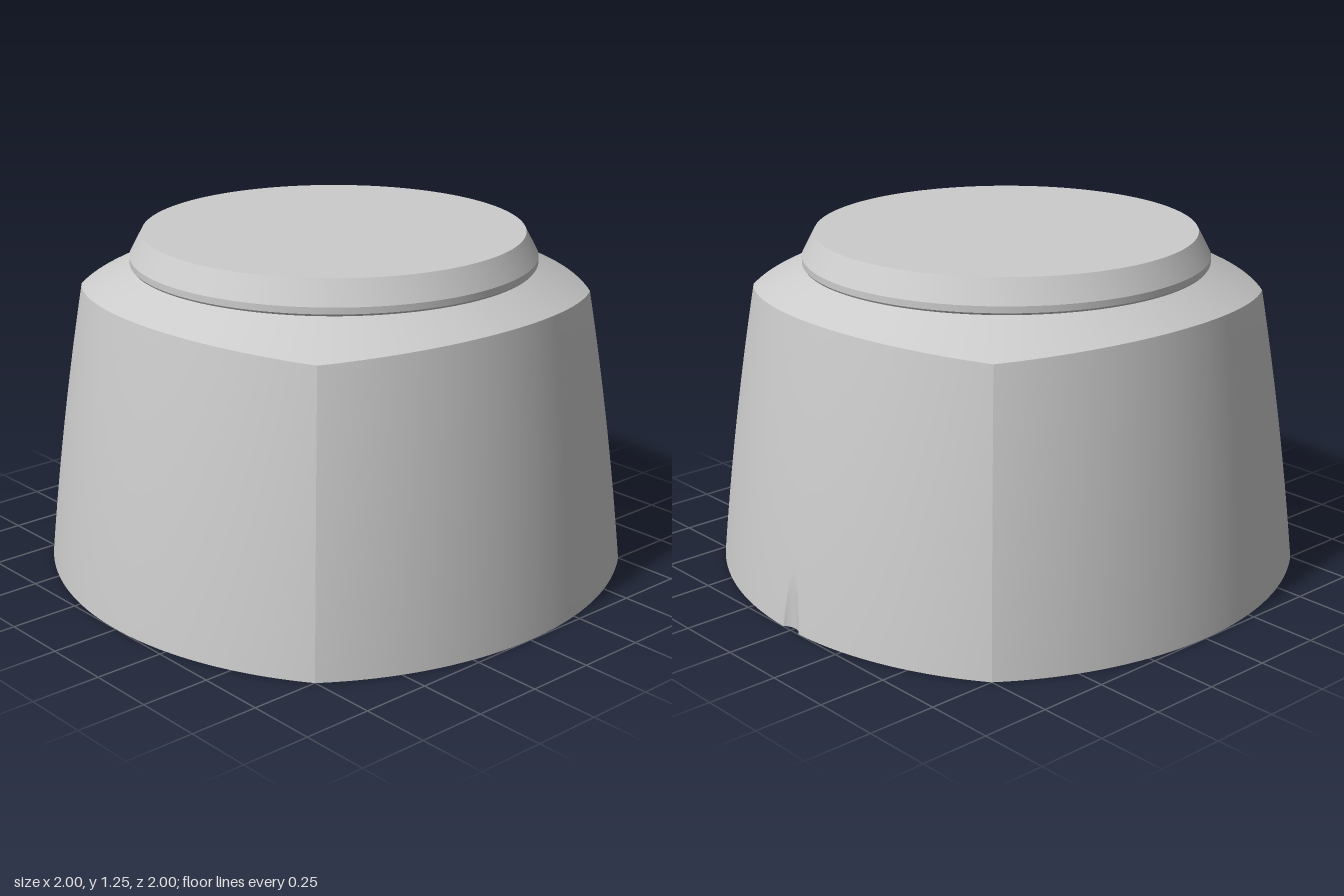
import * as THREE from 'three';
import { toCreasedNormals } from 'three/addons/utils/BufferGeometryUtils.js';

const grey = new THREE.MeshStandardMaterial({ color: 0xcccccc });
const greyInner = new THREE.MeshStandardMaterial({ color: 0xcccccc, side: THREE.DoubleSide });
const RIM = 0.03, CEILING = 0.47, SCREW_R = 0.965;
const rad = THREE.MathUtils.degToRad;
const v3 = (x, y, z) => new THREE.Vector3(x, y, z);

// Joins closed rings of points; bottom-to-top faces outward, top-to-bottom inward.
function loft(rings) {
  const n = rings[0].length, index = [];
  for (let j = 0; j < rings.length - 1; j++) {
    for (let i = 0; i < n; i++) {
      const a = j * n + i, b = j * n + (i + 1) % n;
      index.push(a, a + n, b, b, a + n, b + n);
    }
  }
  const g = new THREE.BufferGeometry().setFromPoints(rings.flat());
  g.setIndex(index);
  return toCreasedNormals(g, 0.2);
}

// Flat downward-facing plate from a ring outline with ring-shaped holes.
function plate(outline, holes, y) {
  const flat = ring => ring.map(p => new THREE.Vector2(p.x, p.z));
  const shape = new THREE.Shape(flat(outline));
  holes.forEach(h => shape.holes.push(new THREE.Path(flat(h))));
  return new THREE.ShapeGeometry(shape).rotateX(Math.PI / 2).translate(0, y, 0);
}

// Near edge, along the ray at angle t, of a circle standing at angle 'at'.
function bite(t, at, dist, radius) {
  const s = dist * Math.sin(t - at), c = Math.cos(t - at);
  return c > 0 && Math.abs(s) < radius ? dist * c - Math.sqrt(radius * radius - s * s) : Infinity;
}

// Body section: four shallow arcs meeting at corners, scaled down with height.
const taper = y => 1 - 0.1 * y - 0.035 * y * y;
function sectionRadius(t) {
  const q = t - Math.round(t / (Math.PI / 2)) * Math.PI / 2;
  return -0.25 * Math.cos(q) + Math.sqrt(1.5625 - 0.0625 * Math.sin(q) ** 2);
}
const wallRadius = (t, y) => Math.min(sectionRadius(t) * taper(y), bite(t, 0, 1.04, 0.06));
function shoulderHeight(t) {
  let y = 1.05;
  for (let k = 0; k < 12; k++) y = 1.13 - 0.52 * (sectionRadius(t) * taper(y) - 0.72);
  return y;
}

// Angles around the body, finer across the cable notch.
const angles = [];
for (let d = -45; d < 315; d += Math.abs(d) < 4.5 ? 0.25 : 1.5) angles.push(rad(d));
const polar = (t, r, y) => v3(r * Math.cos(t), y, r * Math.sin(t));

// Recess outline with screw bosses, one bump and one shallow step.
function recessRing(y) {
  const ring = [];
  for (let d = 0; d < 360; d++) {
    const t = rad(d);
    let r = Math.min(0.95, bite(t, Math.PI / 2, 0.95, 0.09));
    for (let k = 0; k < 4; k++) r = Math.min(r, bite(t, rad(45 + 90 * k), SCREW_R, 0.115));
    if (Math.abs(d - 270) < 12) r = 0.91;
    ring.push(polar(t, r, y));
  }
  return ring;
}

// Pocket outline: a circle cut by a chord that leans in with height, grooved round the shaft.
function pocketRing(k) {
  const y = RIM + (CEILING - RIM) * k, x = -0.27 + 0.13 * k * k, R = 0.67;
  const end = Math.acos(x / R), half = R * Math.sin(end), ring = [];
  for (let i = 0; i < 80; i++) ring.push(polar(-end + 2 * end * i / 80, R, y));
  for (let i = 0; i < 80; i++) {
    const z = half * (1 - i / 40);
    const groove = Math.abs(z) < 0.18 ? -0.1 - Math.sqrt(0.0324 - z * z) : Infinity;
    ring.push(v3(Math.min(x, groove), y, z));
  }
  return ring;
}

function circleRing(cx, cz, r, y) {
  return Array.from({ length: 24 }, (_, i) => polar(i * Math.PI / 12, r, y).add(v3(cx, 0, cz)));
}

export function createModel() {
  const model = new THREE.Group();
  function add(name, geometry, material = grey) {
    const mesh = new THREE.Mesh(geometry, material);
    mesh.name = name;
    model.add(mesh);
    return mesh;
  }

  // Tapered housing with the conical shoulder
  const rows = 30, housing = [];
  for (let j = 0; j <= rows; j++) {
    housing.push(angles.map(t => {
      const y = shoulderHeight(t) * j / rows;
      return polar(t, wallRadius(t, y), y);
    }));
  }
  housing.push(angles.map(t => polar(t, 0.71, 1.135)));
  add('housing', loft(housing));

  // Round cap with a bevelled rim
  const capProfile = [[0, 1.13], [0.705, 1.13], [0.72, 1.135], [0.725, 1.142], [0.725, 1.165], [0.68, 1.25], [0, 1.25]]
    .map(p => new THREE.Vector2(...p));
  add('cap', toCreasedNormals(new THREE.LatheGeometry(capProfile, 128), 0.3));

  // Base rim with four screw holes
  const screws = [0, 1, 2, 3].map(k => polar(rad(45 + 90 * k), SCREW_R, 0));
  const screwRings = y => screws.map(p => circleRing(p.x, p.z, 0.037, y));
  add('baseRim', plate(housing[0], [recessRing(0), ...screwRings(0)], 0));
  const tops = screwRings(0.2);
  screwRings(0).forEach((ring, i) => {
    add('screwHole', loft([tops[i], ring]), greyInner);
    add('screwHoleEnd', plate(tops[i], [], 0.2));
  });

  // Shallow recess and its floor plate
  add('recessWall', loft([recessRing(RIM), recessRing(0)]), greyInner);
  add('basePlate', plate(recessRing(RIM), [pocketRing(0)], RIM));

  // Inner pocket
  const pocket = [];
  for (let j = 12; j >= 0; j--) pocket.push(pocketRing(j / 12));
  add('pocketWall', loft(pocket), greyInner);
  add('pocketCeiling', plate(pocket[0], [], CEILING));

  // Shaft hanging from the pocket ceiling
  const shaft = add('shaft', new THREE.CylinderGeometry(0.13, 0.13, CEILING - 0.31, 48));
  shaft.position.set(-0.1, (CEILING + 0.31) / 2, 0);

  // Rounded pad on the pocket ceiling
  const w = 0.14, h = 0.1, r = 0.05, pad = new THREE.Shape();
  pad.absarc(w - r, h - r, r, 0, Math.PI / 2);
  pad.absarc(r - w, h - r, r, Math.PI / 2, Math.PI);
  pad.absarc(r - w, r - h, r, Math.PI, Math.PI * 1.5);
  pad.absarc(w - r, r - h, r, Math.PI * 1.5, Math.PI * 2);
  const padMesh = add('ceilingPad', new THREE.ExtrudeGeometry(pad, { depth: 0.02, bevelEnabled: false }));
  padMesh.rotation.x = Math.PI / 2;
  padMesh.position.set(0.05, CEILING, 0.48);

  return model;
}
